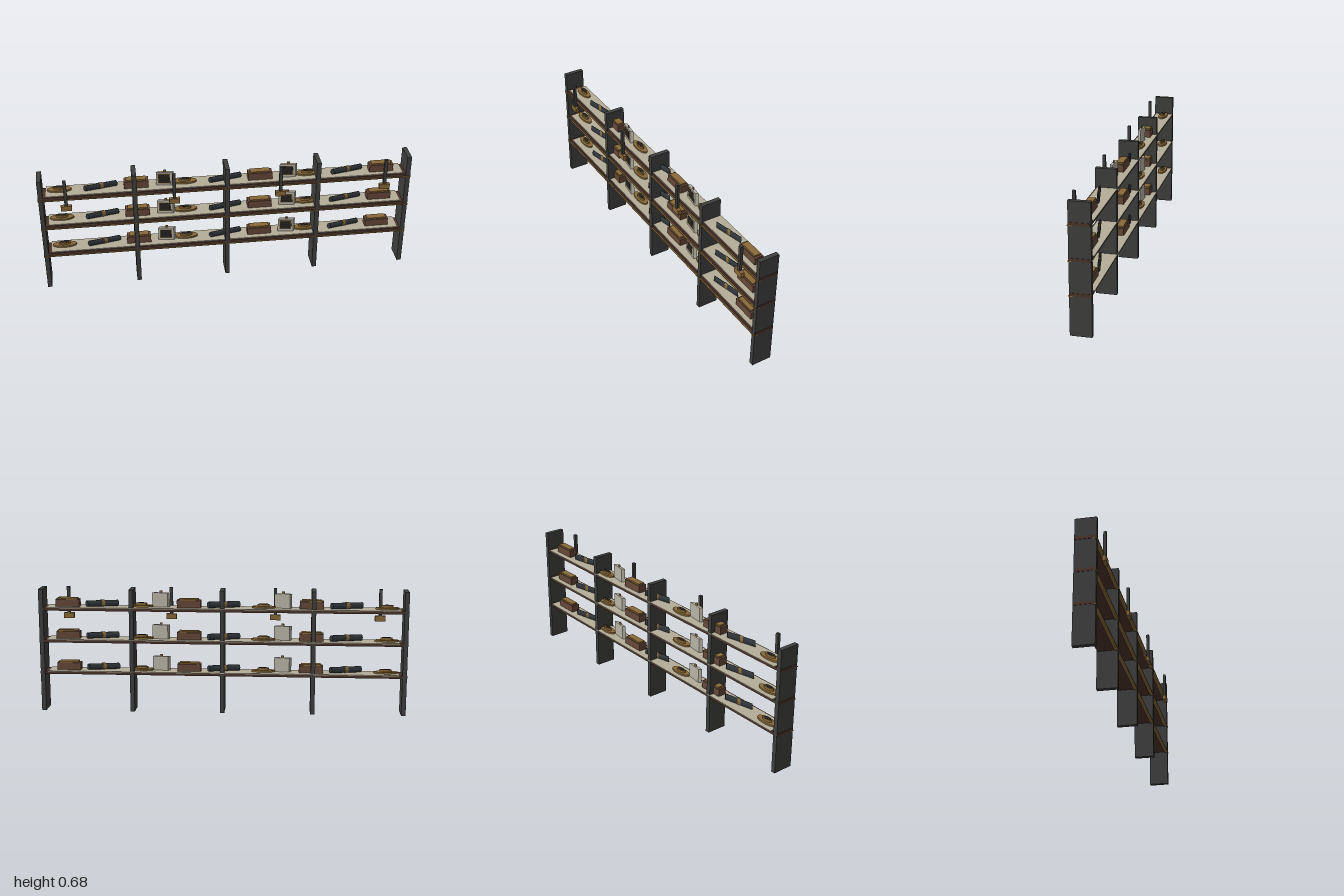
import * as THREE from 'three';

const mat = (color) => new THREE.MeshStandardMaterial({ color });
const M = {
  iron: mat(0x3f403e), wood: mat(0x4c352b), liner: mat(0xb5ad98), brass: mat(0x8a6a38),
  box: mat(0x664838), roll: mat(0x30363a), pale: mat(0xb8b4a6), dark: mat(0x24221f),
};

function add(parent, name, geometry, material, x = 0, y = 0, z = 0) {
  const m = new THREE.Mesh(geometry, material);
  m.name = name;
  m.position.set(x, y, z);
  parent.add(m);
  return m;
}
const box = (w, h, d) => new THREE.BoxGeometry(w, h, d);
const cyl = (r1, r2, h, n = 24) => new THREE.CylinderGeometry(r1, r2, h, n);

// Goods are built at full depth, then squeezed to the shallow shelf
function item(parent, name, x, y, z, turn, build) {
  const squeeze = new THREE.Group();
  squeeze.name = name;
  squeeze.position.set(x, y, z);
  squeeze.scale.z = 0.4;
  const g = new THREE.Group();
  g.rotation.y = turn;
  build(g);
  squeeze.add(g);
  parent.add(squeeze);
}

// Flat round dish with a raised dark centre
function dish(g) {
  add(g, 'dishRim', cyl(0.064, 0.064, 0.009), M.brass, 0, 0.0065);
  add(g, 'dishCollar', cyl(0.032, 0.032, 0.014), M.brass, 0, 0.016);
  add(g, 'dishCentre', cyl(0.024, 0.024, 0.002), M.dark, 0, 0.0235);
}

// Dark cloth roll with a brass band
function roll(g) {
  add(g, 'rollBody', cyl(0.017, 0.017, 0.187, 16), M.roll, 0, 0.017).rotation.z = Math.PI / 2;
  add(g, 'rollBand', cyl(0.019, 0.019, 0.02, 16), M.brass, 0, 0.018).rotation.z = Math.PI / 2;
}

// Wooden chest with a smaller lid plate
function chest(g) {
  add(g, 'chestBody', box(0.13, 0.04, 0.12), M.box, 0, 0.02);
  add(g, 'chestLid', box(0.107, 0.009, 0.092), M.brass, 0, 0.0435);
}

// Pale upright case with a framed dark window and a knob
function cabinet(g) {
  add(g, 'caseBody', box(0.088, 0.078, 0.038), M.pale, 0, 0.039);
  add(g, 'caseFrame', box(0.068, 0.056, 0.004), M.brass, 0, 0.04, 0.02);
  add(g, 'caseWindow', box(0.06, 0.048, 0.004), M.dark, 0, 0.04, 0.022);
  add(g, 'caseKnob', cyl(0.008, 0.008, 0.012, 12), M.brass, 0, 0.084);
}

export function createModel() {
  const model = new THREE.Group();
  model.name = 'shelvingUnit';

  // Upright panels
  for (let i = -2; i <= 2; i++) {
    add(model, 'upright', box(0.024, 0.677, 0.11), M.iron, i * 0.493, 0.3385, -0.007);
  }

  for (const top of [0.2215, 0.3975, 0.574]) {
    const shelf = new THREE.Group();
    shelf.name = 'shelf';
    shelf.position.y = top;
    model.add(shelf);

    add(shelf, 'board', box(2.0, 0.015, 0.104), M.wood, 0, -0.0075, -0.007);
    add(shelf, 'liner', box(1.915, 0.004, 0.104), M.liner, 0, 0.002, -0.014);
    add(shelf, 'frontTrim', box(2.0, 0.004, 0.022), M.brass, 0, -0.017, 0.041);

    // Repeating row of goods
    for (let i = 0; i < 3; i++) {
      const x = i * 0.6635;
      item(shelf, 'dish', -0.886 + x, 0.004, -0.019, 0, dish);
      item(shelf, 'roll', -0.67 + x, 0.004, -0.011, 0.5, roll);
      item(shelf, 'chest', -0.482 + x, 0.004, -0.013, 0, chest);
      if (i < 2) item(shelf, 'cabinet', -0.328 + x, 0.004, -0.007, -0.3, cabinet);
    }
  }

  // Front hanging bars with brass end blocks
  for (const x of [-0.855, -0.285, 0.285, 0.855]) {
    add(model, 'hangingBar', box(0.017, 0.147, 0.016), M.iron, x, 0.6035, 0.056);
    add(model, 'barBlock', box(0.057, 0.029, 0.02), M.brass, x, 0.515, 0.058);
  }
  return model;
}
